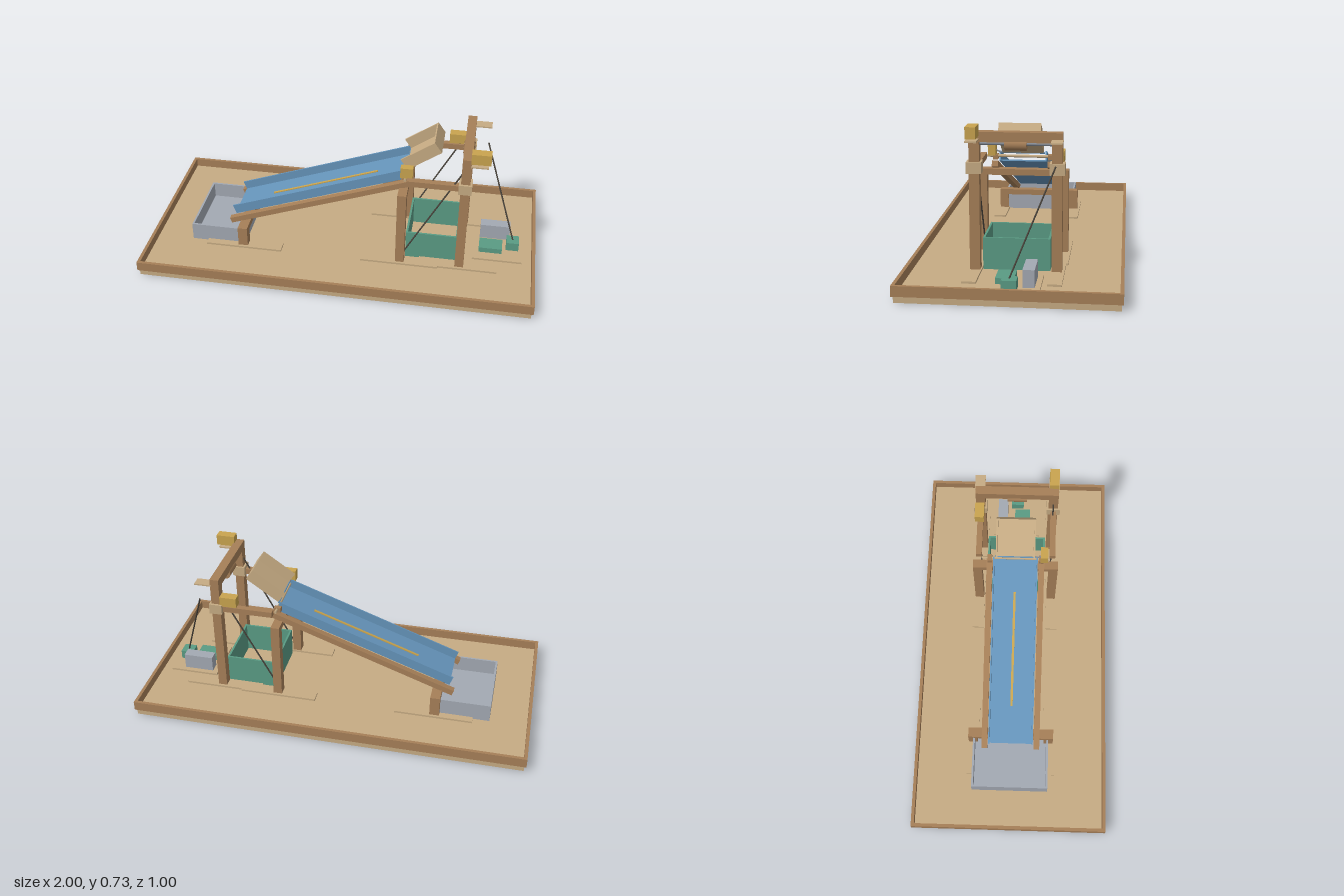
import * as THREE from 'three';

const paint = (name, color) => {
  const m = new THREE.MeshStandardMaterial({ color });
  m.name = name;
  return m;
};

export function createModel() {
  const model = new THREE.Group();
  model.name = 'sortingRampRig';
  const beige = paint('plywood', 0xc6ab83), brown = paint('timber', 0xa67f58);
  const blue = paint('troughBlue', 0x6594ba), green = paint('binGreen', 0x5a9b84);
  const grey = paint('trayGrey', 0xa3a9b3), gold = paint('motorGold', 0xc9a44f);
  const steel = paint('steel', 0x878d96), dark = paint('cable', 0x4a443c);

  const add = (mesh, name, parent = model) => {
    mesh.name = name;
    parent.add(mesh);
    return mesh;
  };
  // Box given by its extents on each axis
  const box = (name, mat, [x0, x1], [y0, y1], [z0, z1], parent = model) => {
    const mesh = new THREE.Mesh(new THREE.BoxGeometry(x1 - x0, y1 - y0, z1 - z0), mat);
    mesh.position.set((x0 + x1) / 2, (y0 + y1) / 2, (z0 + z1) / 2);
    return add(mesh, name, parent);
  };
  // Same box on both sides of the centre line
  const pair = (name, mat, x, y, [z0, z1], parent = model) => {
    box(name + 'Left', mat, x, y, [z0, z1], parent);
    box(name + 'Right', mat, x, y, [-z1, -z0], parent);
  };
  // Round bar between two points
  const rod = (name, mat, a, b, r, sides = 8) => {
    const p = new THREE.Vector3(...a), q = new THREE.Vector3(...b);
    const dir = q.clone().sub(p);
    const mesh = new THREE.Mesh(new THREE.CylinderGeometry(r, r, dir.length(), sides), mat);
    mesh.position.copy(p).add(q).multiplyScalar(0.5);
    mesh.quaternion.setFromUnitVectors(new THREE.Vector3(0, 1, 0), dir.normalize());
    return add(mesh, name);
  };
  // Four upright walls around a rectangle
  const walls = (name, mat, [x0, x1], y, hz, t) => {
    const g = new THREE.Group();
    pair('side', mat, [x0, x1], y, [hz - t, hz], g);
    box('endA', mat, [x0, x0 + t], y, [t - hz, hz - t], g);
    box('endB', mat, [x1 - t, x1], y, [t - hz, hz - t], g);
    return add(g, name);
  };

  // Base board with raised rim
  const floor = 0.034;
  box('baseBoard', beige, [-0.99, 0.99], [0, floor], [-0.492, 0.492]);
  walls('baseRim', brown, [-1, 1], [0.031, 0.08], 0.5, 0.016);

  // Posts, their foot plates and cross bars
  const posts = [
    ['lowPost', -0.54, -0.49, 0.15, 0.175, 0.222, -0.71],
    ['midPost', 0.29, 0.335, 0.455, 0.175, 0.222, 0.11],
    ['tallPost', 0.595, 0.64, 0.692, 0.165, 0.213, 0.41],
  ];
  for (const [name, x0, x1, top, z0, z1, foot] of posts) {
    pair(name, brown, [x0, x1], [floor, top], [z0, z1]);
    pair(name + 'Foot', beige, [foot, foot + 0.4], [floor, floor + 0.01], [z0 - 0.005, z1 + 0.012]);
    const depth = name === 'tallPost' ? 0.047 : 0.03;
    box(name + 'Crossbar', brown, [x0, x1], [top - depth, top], [-z0, z0]);
  }

  // Sloping rails carrying the trough
  const ramp = new THREE.Group();
  ramp.position.set(-0.125, 0.313, 0);
  ramp.rotation.z = THREE.MathUtils.degToRad(20);
  add(ramp, 'ramp');
  pair('rail', brown, [-0.5, 0.5], [-0.015, 0.015], [0.12, 0.15], ramp);
  box('troughFloor', blue, [-0.47, 0.49], [0.015, 0.022], [-0.115, 0.115], ramp);
  pair('troughWall', blue, [-0.47, 0.49], [0.022, 0.066], [0.108, 0.115], ramp);
  box('troughStrip', gold, [-0.275, 0.315], [0.022, 0.027], [-0.006, 0.006], ramp);

  // Tipping tray above the trough, open at its low end
  const tray = new THREE.Group();
  tray.position.set(0.325, 0.535, 0);
  tray.rotation.z = THREE.MathUtils.degToRad(35);
  add(tray, 'tippingTray');
  box('trayFloor', beige, [0, 0.2], [0, 0.008], [-0.1, 0.1], tray);
  box('trayBack', beige, [0.192, 0.2], [0.008, 0.065], [-0.1, 0.1], tray);
  pair('traySide', beige, [0, 0.192], [0.008, 0.065], [0.092, 0.1], tray);

  // Arms, collars and gate pivot
  pair('arm', brown, [0.33, 0.6], [0.505, 0.535], [0.175, 0.205]);
  pair('collar', beige, [0.585, 0.65], [0.5, 0.553], [0.155, 0.225]);
  pair('pivotBlock', brown, [0.3, 0.335], [0.502, 0.527], [0.121, 0.145]);
  rod('pivotBar', beige, [0.32, 0.518, -0.175], [0.32, 0.518, 0.175], 0.007);
  rod('gateLever', steel, [0.32, 0.55, 0.14], [0.32, 0.535, 0.105], 0.004);
  rod('gateRod', blue, [0.32, 0.535, -0.105], [0.32, 0.535, 0.105], 0.004);

  // Winch under the top beam
  rod('winchShaft', steel, [0.617, 0.636, -0.19], [0.617, 0.636, 0.19], 0.008, 12);
  rod('winchDrum', brown, [0.617, 0.633, -0.05], [0.617, 0.633, 0.05], 0.028, 20);
  pair('topBracket', beige, [0.635, 0.72], [0.655, 0.662], [0.165, 0.218]);

  // Motors
  box('gateMotor', gold, [0.295, 0.357], [0.525, 0.582], [0.13, 0.167]);
  box('armMotor', gold, [0.51, 0.595], [0.545, 0.597], [-0.217, -0.17]);
  box('topMotor', gold, [0.635, 0.73], [0.673, 0.728], [0.166, 0.214]);

  // Cables
  for (const s of [1, -1]) rod('braceCable', dark, [0.335, 0.1, s * 0.188], [0.605, 0.61, s * 0.188], 0.004, 6);
  rod('controlCable', dark, [0.71, 0.555, -0.188], [0.882, 0.09, 0], 0.004, 6);

  // Catch tray and open collecting bin
  walls('catchTrayWalls', grey, [-0.795, -0.51], [floor, 0.128], 0.197, 0.01);
  box('catchTrayFloor', grey, [-0.785, -0.52], [floor, 0.046], [-0.187, 0.187]);
  walls('collectingBin', green, [0.335, 0.6], [floor, 0.188], 0.157, 0.01);

  // Control plate with power pack and circuit boards
  box('controlPlate', beige, [0.68, 0.935], [floor, 0.044], [-0.135, 0.125]);
  box('powerPack', grey, [0.71, 0.865], [0.044, 0.126], [-0.11, -0.056]);
  box('mainBoard', green, [0.71, 0.83], [0.044, 0.072], [-0.015, 0.07]);
  box('smallBoard', green, [0.85, 0.915], [0.044, 0.091], [-0.035, 0.033]);

  return model;
}
